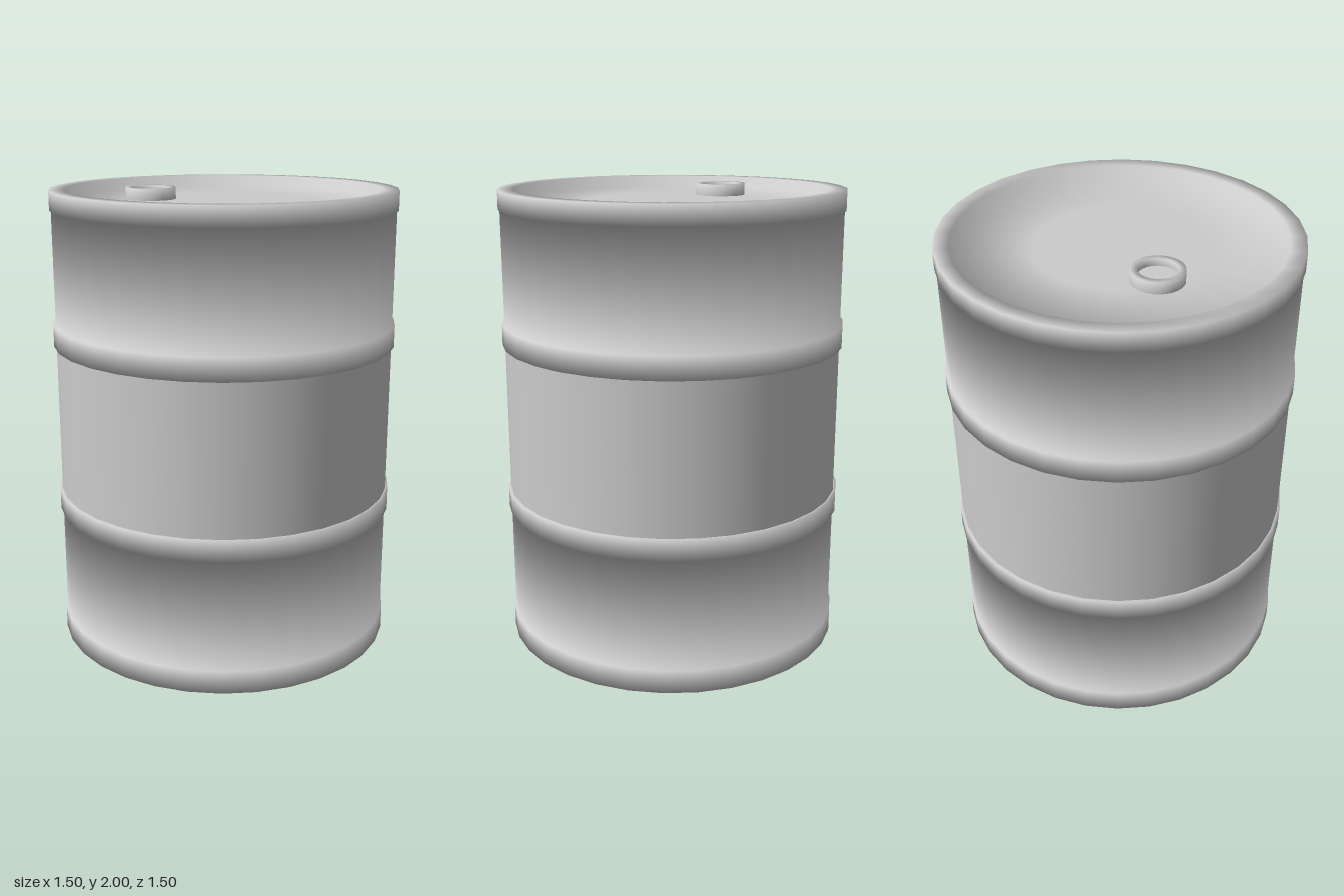
import * as THREE from 'three';

const SIDES = 32;

// Revolve a profile, blending the normals of neighbouring segments equally at each corner.
function revolve(profile, name, material) {
  const points = profile.map(([r, y]) => new THREE.Vector2(r, y));
  const geometry = new THREE.LatheGeometry(points, SIDES);
  const segments = points.slice(1).map((p, i) => {
    const d = p.clone().sub(points[i]).normalize();
    return new THREE.Vector2(d.y, -d.x);
  });
  const normal = geometry.attributes.normal;
  for (let i = 0; i <= SIDES; i++) {
    const phi = (i / SIDES) * Math.PI * 2;
    points.forEach((_, j) => {
      const before = segments[Math.max(j - 1, 0)];
      const after = segments[Math.min(j, segments.length - 1)];
      const n = before.clone().add(after).normalize();
      normal.setXYZ(i * points.length + j, n.x * Math.sin(phi), n.y, n.x * Math.cos(phi));
    });
  }
  const mesh = new THREE.Mesh(geometry, material);
  mesh.name = name;
  return mesh;
}

export function createModel() {
  const group = new THREE.Group();
  group.name = 'barrel';
  const grey = new THREE.MeshStandardMaterial({ color: 0xcccccc });

  const wall = 0.738, rim = 0.745, hoop = 0.749, inner = 0.68;

  // Recessed base plate
  group.add(revolve([[0, 0.04], [inner, 0.04]], 'basePlate', grey));

  // Bottom rim, lower wall and lower hoop
  group.add(revolve([
    [inner, 0.04], [inner, 0], [rim, 0], [rim, 0.1], [wall, 0.1],
    [wall, 0.59], [hoop, 0.59], [hoop, 0.685], [wall, 0.685],
  ], 'lowerBody', grey));

  // Plain wall between the hoops
  group.add(revolve([[wall, 0.685], [wall, 1.335]], 'middleWall', grey));

  // Upper hoop, upper wall, top rim and recessed lid
  group.add(revolve([
    [wall, 1.335], [hoop, 1.335], [hoop, 1.432], [wall, 1.432],
    [wall, 1.917], [rim, 1.917], [rim, 2], [inner, 2],
    [inner, 1.95], [0.36, 1.95], [0, 1.95],
  ], 'upperBodyAndLid', grey));

  // Filler neck on the lid, with a shallow flat floor
  const neck = new THREE.Group();
  neck.name = 'fillerNeck';
  neck.position.set(-0.28, 0, -0.153);
  neck.add(revolve([[0.108, 1.95], [0.108, 2], [0.08, 2], [0.08, 1.97]], 'neckRing', grey));
  neck.add(revolve([[0.08, 1.97], [0, 1.97]], 'neckFloor', grey));
  group.add(neck);

  return group;
}
